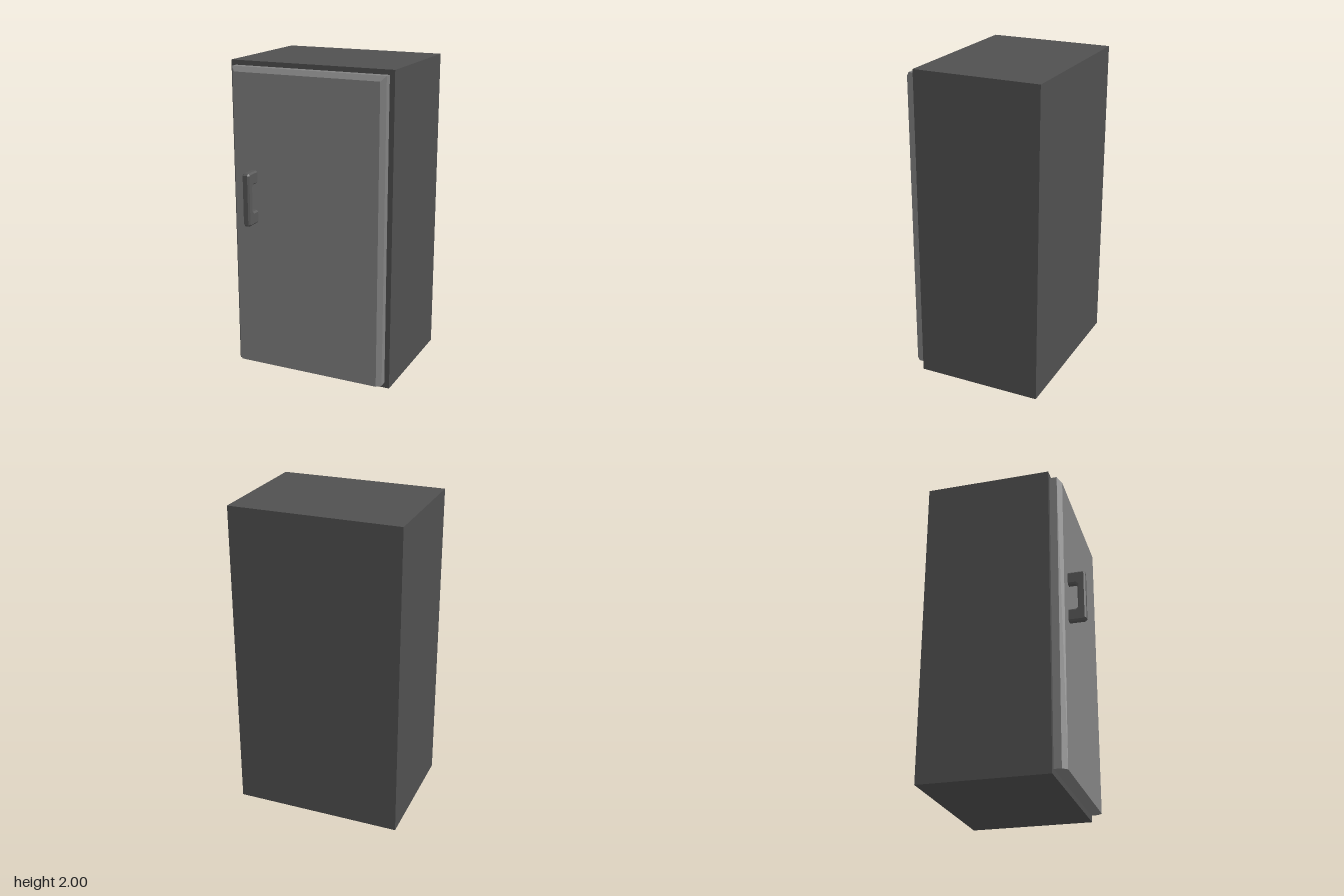
import * as THREE from 'three';

const material = (color) => new THREE.MeshStandardMaterial({ color, flatShading: true });

function part(name, geometry, color) {
  const mesh = new THREE.Mesh(geometry, material(color));
  mesh.name = name;
  return mesh;
}

// Door slab: loops from back to front, chamfered on the sides and top only
function doorGeometry() {
  const bottom = 0.035;
  const loops = [
    { z: 0.31, w: 0.505, top: 1.97 },
    { z: 0.357, w: 0.505, top: 1.97 },
    { z: 0.386, w: 0.477, top: 1.94 },
  ];
  const positions = [];
  for (const { z, w, top } of loops) {
    positions.push(-w, bottom, z, w, bottom, z, w, top, z, -w, top, z);
  }
  const index = [0, 2, 1, 0, 3, 2, 8, 9, 10, 8, 10, 11];
  for (let l = 0; l < loops.length - 1; l++) {
    for (let i = 0; i < 4; i++) {
      const a = l * 4 + i, b = l * 4 + (i + 1) % 4;
      index.push(a, b, b + 4, a, b + 4, a + 4);
    }
  }
  const g = new THREE.BufferGeometry();
  g.setAttribute('position', new THREE.Float32BufferAttribute(positions, 3));
  g.setIndex(index);
  const flat = g.toNonIndexed();
  flat.computeVertexNormals();
  return flat;
}

// Pull handle: C-shaped side profile (z, y) extruded across x with chamfers
function handleGeometry() {
  const back = 0.37, front = 0.495, low = 1.0, high = 1.338, c = 0.012;
  const gripZ = 0.444, gapLow = 1.083, gapHigh = 1.255;
  const profile = [
    [back, low], [front - c, low], [front, low + c],
    [front, high - c], [front - c, high], [back, high],
    [back, gapHigh], [gripZ - c, gapHigh], [gripZ, gapHigh - c],
    [gripZ, gapLow + c], [gripZ - c, gapLow], [back, gapLow],
  ];
  const shape = new THREE.Shape(profile.map(([z, y]) => new THREE.Vector2(z, y)));
  const bevel = 0.01, width = 0.047;
  const g = new THREE.ExtrudeGeometry(shape, {
    depth: width - 2 * bevel,
    bevelEnabled: true,
    bevelSegments: 1,
    bevelSize: bevel,
    bevelThickness: bevel,
    bevelOffset: -bevel,
  });
  g.translate(0, 0, -(width - 2 * bevel) / 2);
  g.rotateY(-Math.PI / 2);
  g.translate(-0.355, 0, 0);
  return g;
}

export function createModel() {
  const model = new THREE.Group();
  model.name = 'refrigerator';

  // Cabinet
  const cabinet = new THREE.BoxGeometry(1.074, 2, 0.805);
  cabinet.translate(0, 1, -0.0925);
  model.add(part('cabinet', cabinet, 0x505050));

  // Door and handle
  model.add(part('door', doorGeometry(), 0x828282));
  model.add(part('handle', handleGeometry(), 0x585858));

  return model;
}
